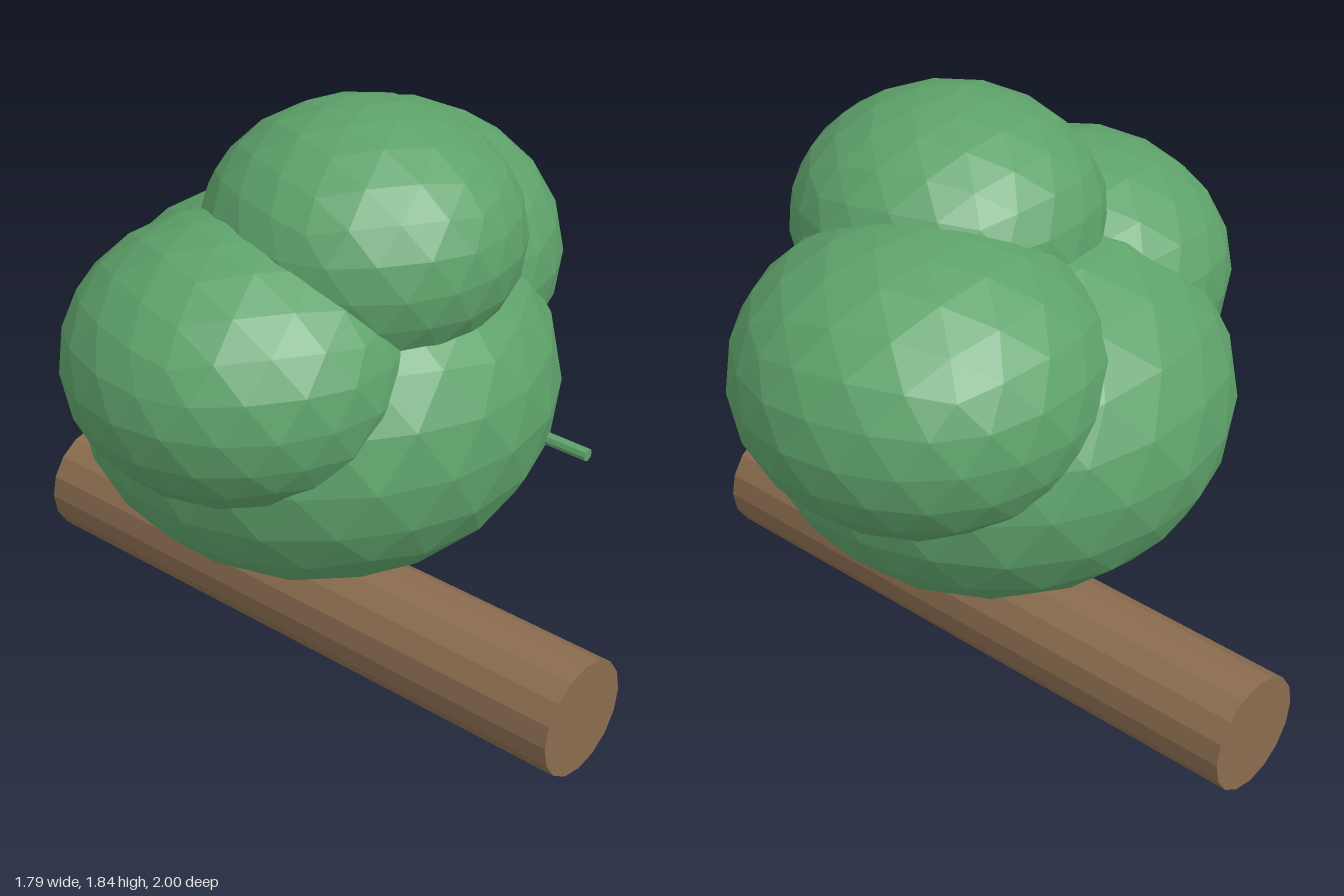
import * as THREE from 'three';

export function createModel() {
  const model = new THREE.Group();
  const leafGreen = new THREE.MeshStandardMaterial({ name: 'leafGreen', color: 0x5ea26a, flatShading: true });
  const barkBrown = new THREE.MeshStandardMaterial({ name: 'barkBrown', color: 0x8b6c4f, flatShading: true });

  const add = (name, geometry, material, position) => {
    const mesh = new THREE.Mesh(geometry, material);
    mesh.name = name;
    mesh.position.set(...position);
    model.add(mesh);
  };

  // Faceted foliage clump: sphere with a corner at each pole, flattened in height
  const clump = (name, radius, position) => {
    const geometry = new THREE.IcosahedronGeometry(radius, 3);
    geometry.rotateX(-Math.atan((1 + Math.sqrt(5)) / 2));
    geometry.scale(1, 0.8, 1);
    add(name, geometry, leafGreen, position);
  };
  clump('mainFoliage', 0.715, [-0.015, 0.959, 0]);
  clump('leftFoliage', 0.54, [0.357, 1.213, -0.06]);
  clump('rightFoliage', 0.5, [-0.397, 1.19, 0.05]);
  clump('topFoliage', 0.46, [-0.015, 1.467, 0.17]);

  // Cylinder lying along z
  const rod = (name, radius, length, sides, material, position) => {
    const geometry = new THREE.CylinderGeometry(radius, radius, length, sides);
    geometry.rotateX(Math.PI / 2);
    add(name, geometry, material, position);
  };
  rod('trunk', 0.182, 2, 16, barkBrown, [-0.016, 0.182, 0]);
  rod('twig', 0.019, 0.2, 8, leafGreen, [0.267, 0.842, 0.675]);

  return model;
}
